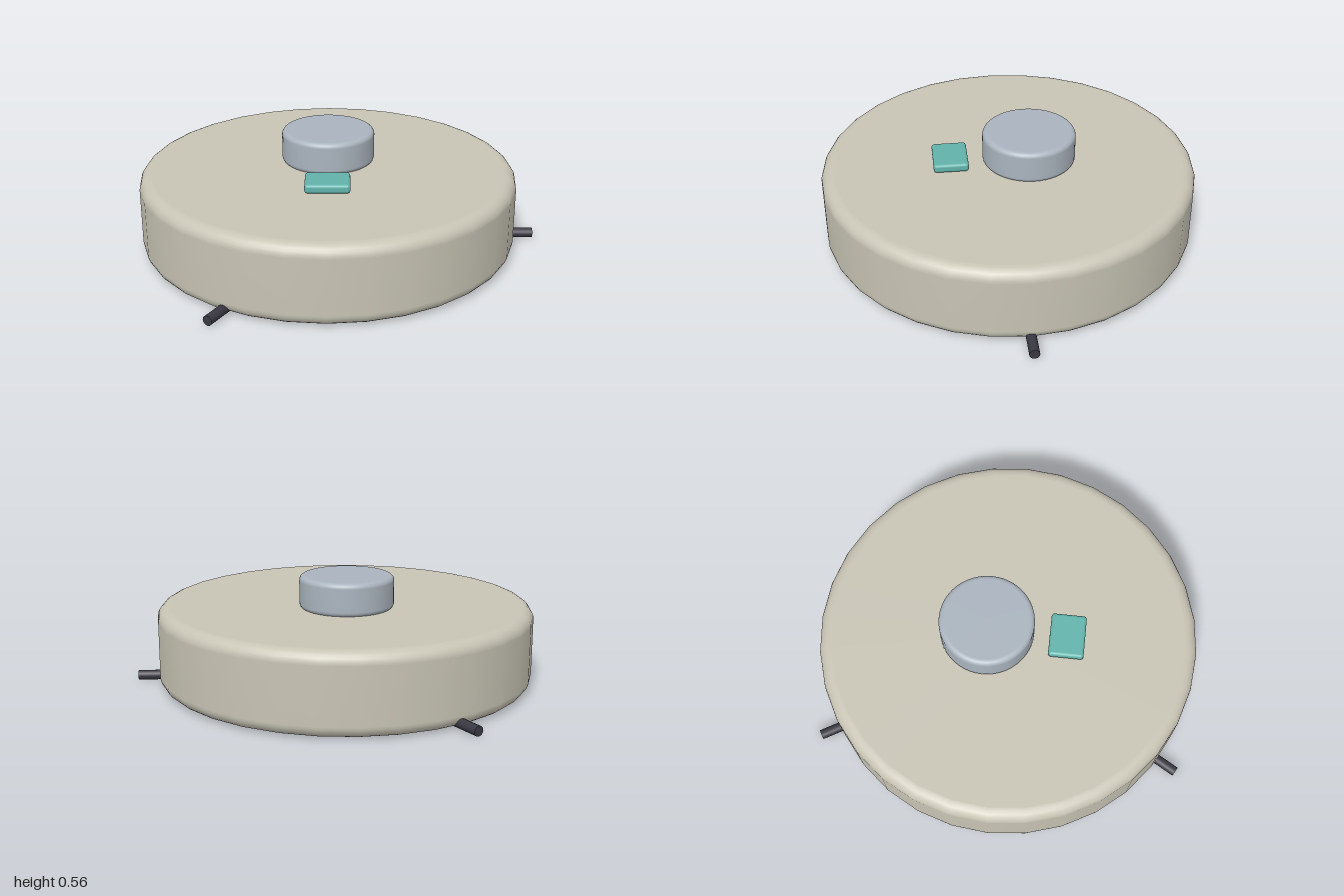
import * as THREE from 'three';
import { RoundedBoxGeometry } from 'three/addons/geometries/RoundedBoxGeometry.js';

const CENTER_X = -0.055;

const material = (name, color) => {
  const m = new THREE.MeshStandardMaterial({ color });
  m.name = name;
  return m;
};

// Solid disc with rounded rims; extra rings keep the flats and wall evenly shaded.
function roundedDisc(radius, y0, y1, bevel, segments) {
  const pts = [[0, y0], [radius - bevel - 0.004, y0]];
  const steps = 6;
  for (const [cy, start] of [[y0 + bevel, -Math.PI / 2], [y1 - bevel, 0]]) {
    for (let i = 0; i <= steps; i++) {
      const a = start + (i / steps) * Math.PI / 2;
      pts.push([radius - bevel + bevel * Math.cos(a), cy + bevel * Math.sin(a)]);
    }
  }
  pts.push([radius - bevel - 0.004, y1], [0, y1]);
  return new THREE.LatheGeometry(pts.map(([x, y]) => new THREE.Vector2(x, y)), segments);
}

export function createModel() {
  const model = new THREE.Group();
  model.name = 'roundDevice';
  const shell = material('warm grey shell', 0xc8c4b5);
  const metal = material('blue grey turret', 0xaab4be);
  const teal = material('teal button', 0x62b3ab);
  const dark = material('dark brush', 0x3a3842);

  const add = (name, geometry, mat, x, y, z, parent = model) => {
    const mesh = new THREE.Mesh(geometry, mat);
    mesh.name = name;
    mesh.position.set(x, y, z);
    parent.add(mesh);
    return mesh;
  };

  // Main body
  add('body', roundedDisc(0.945, 0.003, 0.4, 0.06, 32), shell, CENTER_X, 0, 0);

  // Sensor turret and button on the lid
  add('turret', roundedDisc(0.235, 0.395, 0.56, 0.025, 48), metal, CENTER_X, 0, -0.105);
  add('button', new RoundedBoxGeometry(0.22, 0.045, 0.175, 3, 0.015), teal, CENTER_X, 0.4275, 0.295);

  // Three radial brushes poking out from underneath
  const inner = 0.615, outer = 1.055;
  const brushGeometry = new THREE.CylinderGeometry(0.025, 0.025, outer - inner, 12);
  brushGeometry.rotateZ(-Math.PI / 2);
  for (let i = 0; i < 3; i++) {
    const arm = new THREE.Group();
    arm.name = `brushArm${i + 1}`;
    arm.position.set(CENTER_X, 0.025, 0);
    arm.rotation.y = (i * 2 * Math.PI) / 3;
    add('brush', brushGeometry, dark, (inner + outer) / 2, 0, 0, arm);
    model.add(arm);
  }

  return model;
}
